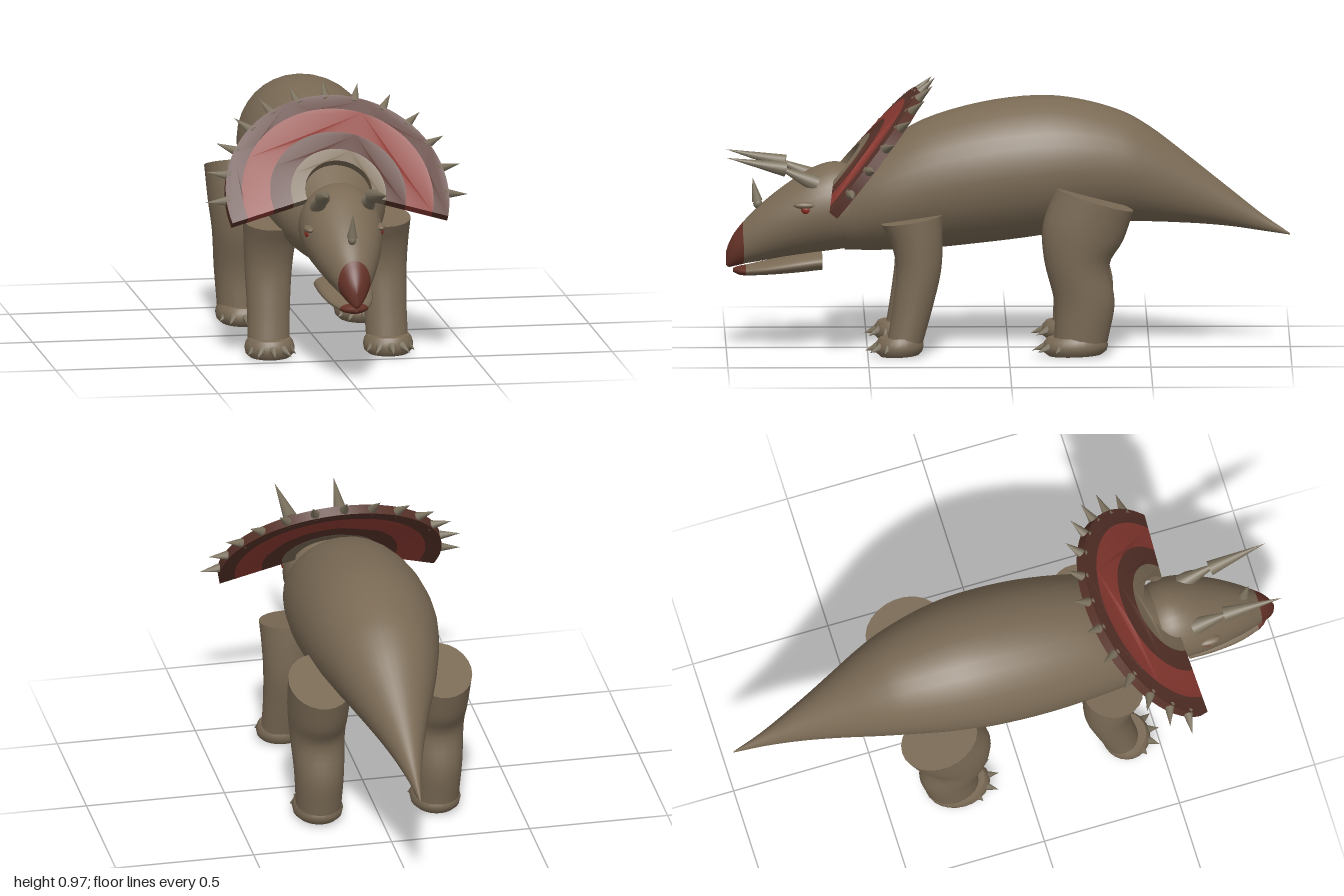
import * as THREE from 'three';
import { toCreasedNormals } from 'three/addons/utils/BufferGeometryUtils.js';

const V = (x, y, z) => new THREE.Vector3(x, y, z);

function material(name, color) {
  const m = new THREE.MeshStandardMaterial({ color });
  m.name = name;
  return m;
}

// Closed skin through elliptical rings { c, u, v }, with flat end caps
function loft(rings, n = 32) {
  const pos = [], idx = [];
  const addRing = ({ c, u, v }) => {
    const start = pos.length / 3;
    for (let i = 0; i < n; i++) {
      const a = (i / n) * Math.PI * 2;
      const p = c.clone().addScaledVector(u, Math.cos(a)).addScaledVector(v, Math.sin(a));
      pos.push(p.x, p.y, p.z);
    }
    return start;
  };
  const starts = rings.map(addRing);
  for (let r = 0; r + 1 < rings.length; r++) {
    for (let i = 0; i < n; i++) {
      const j = (i + 1) % n, a = starts[r], b = starts[r + 1];
      idx.push(a + i, a + j, b + j, a + i, b + j, b + i);
    }
  }
  [rings[0], rings[rings.length - 1]].forEach((ring, end) => {
    const s = addRing(ring), mid = pos.length / 3;
    pos.push(ring.c.x, ring.c.y, ring.c.z);
    for (let i = 0; i < n; i++) {
      const j = (i + 1) % n;
      idx.push(mid, s + (end ? i : j), s + (end ? j : i));
    }
  });
  const g = new THREE.BufferGeometry();
  g.setAttribute('position', new THREE.Float32BufferAttribute(pos, 3));
  g.setIndex(idx);
  g.computeVertexNormals();
  return g;
}

// Loft along z from rows of [z, top, bottom, half width], smoothed by a spline
function hull(rows, steps) {
  const heights = new THREE.CatmullRomCurve3(rows.map(r => V(r[0], r[1], r[2])), false, 'catmullrom');
  const widths = new THREE.CatmullRomCurve3(rows.map(r => V(r[0], r[3], 0)), false, 'catmullrom');
  const rings = [];
  for (let i = 0; i <= steps; i++) {
    const h = heights.getPoint(i / steps), w = widths.getPoint(i / steps).y;
    rings.push({ c: V(0, (h.y + h.z) / 2, h.x), u: V(w, 0, 0), v: V(0, (h.y - h.z) / 2, 0) });
  }
  return loft(rings);
}

// Cone from a base point to a tip
function spike(from, to, r, sides = 10) {
  const d = to.clone().sub(from), len = d.length();
  const g = new THREE.ConeGeometry(r, len, sides);
  g.translate(0, len / 2, 0);
  g.applyQuaternion(new THREE.Quaternion().setFromUnitVectors(V(0, 1, 0), d.normalize()));
  g.translate(from.x, from.y, from.z);
  return g;
}

function ball(c, sx, sy, sz) {
  return new THREE.SphereGeometry(1, 20, 14).scale(sx, sy, sz).translate(c.x, c.y, c.z);
}

export function createModel() {
  const root = new THREE.Group();
  root.name = 'hornedDinosaur';
  const skin = material('skin', 0x7a6a55);
  const horn = material('horn', 0x7a705d);
  const red = material('frillRed', 0x8c3a32);
  const maroon = material('frillMaroon', 0x573229);
  const beakMat = material('beak', 0x653227);
  const eyeMat = material('eye', 0x8a2c20);
  const add = (name, geo, mat, parent = root) => {
    const m = new THREE.Mesh(geo, mat);
    m.name = name;
    parent.add(m);
    return m;
  };

  // Body and tail
  add('body', hull([
    [-1, 0.405, 0.4, 0.002], [-0.9, 0.475, 0.415, 0.022], [-0.8, 0.555, 0.43, 0.05],
    [-0.7, 0.635, 0.44, 0.083], [-0.6, 0.715, 0.446, 0.12], [-0.5, 0.79, 0.45, 0.158],
    [-0.4, 0.845, 0.45, 0.19], [-0.25, 0.887, 0.43, 0.225], [-0.1, 0.9, 0.4, 0.243],
    [0.1, 0.875, 0.375, 0.243], [0.3, 0.815, 0.355, 0.222], [0.45, 0.725, 0.35, 0.19],
    [0.58, 0.64, 0.35, 0.13]], 48), skin);

  // Head, beak and lower jaw
  add('head', hull([
    [0.53, 0.62, 0.38, 0.1], [0.56, 0.65, 0.36, 0.135], [0.62, 0.665, 0.35, 0.146],
    [0.7, 0.64, 0.34, 0.141], [0.8, 0.575, 0.325, 0.116], [0.88, 0.51, 0.31, 0.086],
    [0.94, 0.45, 0.3, 0.058]], 28), skin);
  add('beak', hull([
    [0.938, 0.452, 0.299, 0.059], [0.97, 0.412, 0.292, 0.041],
    [0.99, 0.375, 0.288, 0.022], [1, 0.345, 0.295, 0.003]], 12), beakMat);
  add('lowerJaw', hull([
    [0.66, 0.35, 0.28, 0.1], [0.75, 0.335, 0.27, 0.096], [0.85, 0.312, 0.262, 0.08],
    [0.93, 0.295, 0.258, 0.052]], 14), skin);
  add('lowerBeak', hull([
    [0.93, 0.295, 0.258, 0.052], [0.955, 0.291, 0.261, 0.035], [0.975, 0.285, 0.27, 0.008]], 8), beakMat);

  // Nose horn
  add('noseHornBase', ball(V(0, 0.515, 0.888), 0.015, 0.018, 0.016), horn);
  add('noseHorn', spike(V(0, 0.525, 0.89), V(0, 0.61, 0.907), 0.019), horn);

  // Neck frill: concentric rings, swept back and slightly dished
  const frill = new THREE.Group();
  frill.name = 'frill';
  frill.position.set(0, 0.634, 0.6);
  frill.rotation.x = -0.68;
  root.add(frill);
  const dip = 0.25, dish = 0.12;
  const bands = [
    ['frillInnerBand', 0.12, 0.17, skin], ['frillMiddleBand', 0.17, 0.243, maroon],
    ['frillRedBand', 0.243, 0.342, red], ['frillRim', 0.342, 0.4, maroon]];
  for (const [name, r0, r1, mat] of bands) {
    const s = new THREE.Shape();
    s.absarc(0, 0, r1, -dip, Math.PI + dip, false);
    s.absarc(0, 0, r0, Math.PI + dip, -dip, true);
    s.closePath();
    const g = new THREE.ExtrudeGeometry(s, { depth: 0.035, bevelEnabled: false, curveSegments: 40 });
    const p = g.attributes.position;
    for (let i = 0; i < p.count; i++) {
      p.setZ(i, p.getZ(i) - 0.0175 - dish * Math.hypot(p.getX(i), p.getY(i)));
    }
    g.computeVertexNormals();
    add(name, toCreasedNormals(g, 0.6), mat, frill);
  }

  // Spikes round the frill edge
  for (let i = 0; i <= 12; i++) {
    const a = (i * Math.PI) / 12;
    const at = r => V(r * Math.cos(a), r * Math.sin(a), -dish * r);
    add('frillSpike', spike(at(0.385), at(0.472), 0.02), horn, frill);
  }

  // Legs: rows of [y, z, half width, half depth, slope of the ring], from the top down
  const frontRows = [
    [0.485, 0.345, 0.1, 0.107, -0.018], [0.4, 0.325, 0.092, 0.09, -0.01], [0.3, 0.32, 0.084, 0.079, 0],
    [0.17, 0.342, 0.077, 0.071, 0], [0.05, 0.368, 0.075, 0.064, 0]];
  const hindRows = [
    [0.56, -0.305, 0.112, 0.137, 0.042], [0.44, -0.262, 0.107, 0.142, 0.03], [0.33, -0.24, 0.098, 0.115, 0.01],
    [0.19, -0.268, 0.088, 0.107, 0], [0.05, -0.255, 0.08, 0.095, 0]];

  function leg(name, side, rows, x0, x1) {
    const group = new THREE.Group();
    group.name = name;
    root.add(group);
    const curve = k => new THREE.CatmullRomCurve3(
      rows.map(r => (k ? V(r[2], r[3], r[4]) : V(0, r[0], r[1]))), false, 'catmullrom');
    const path = curve(0), size = curve(1), rings = [];
    for (let i = 0; i <= 16; i++) {
      const t = i / 16, c = path.getPoint(t), s = size.getPoint(t);
      c.x = side * (x0 + (x1 - x0) * t);
      rings.push({ c, u: V(s.x, 0, 0), v: V(0, s.z, s.y) });
    }
    add('limb', loft(rings, 24), skin, group);

    // Foot pad with a rounded rim
    const last = rows[rows.length - 1];
    const x = side * x1, z = last[1] + 0.02, rx = 0.09, rz = last[3] + 0.022;
    const pad = [[0.068, 0.84], [0.055, 0.94], [0.035, 1], [0.015, 0.95], [0.002, 0.8]]
      .map(([y, k]) => ({ c: V(x, y, z), u: V(rx * k, 0, 0), v: V(0, -0.004 * k, rz * k) }));
    add('foot', loft(pad, 24), skin, group);

    // Claws fanned across the front
    for (let i = -2; i <= 2; i++) {
      const a = i * 0.5;
      const at = (k, y, out) => V(x + Math.sin(a) * (rx * k + out), y, z + Math.cos(a) * (rz * k + out));
      add('claw', spike(at(0.8, 0.038, 0), at(1, 0.018, Math.abs(i) === 2 ? 0.012 : 0.036), 0.019, 8), horn, group);
    }
  }

  for (const side of [1, -1]) {
    const label = side > 0 ? 'left' : 'right';
    leg(label + 'FrontLeg', side, frontRows, 0.2, 0.213);
    leg(label + 'HindLeg', side, hindRows, 0.218, 0.213);

    // Brow horn on its short stem
    add(label + 'BrowHornStem', spike(V(side * 0.085, 0.595, 0.68), V(side * 0.097, 0.67, 0.84), 0.032, 12), horn);
    add(label + 'BrowHorn', spike(V(side * 0.09, 0.65, 0.79), V(side * 0.107, 0.694, 1), 0.027, 12), horn);

    // Eye with a heavy lid
    add(label + 'Eye', ball(V(side * 0.129, 0.51, 0.718), 0.013, 0.016, 0.018), eyeMat);
    add(label + 'Eyelid', ball(V(side * 0.127, 0.526, 0.722), 0.019, 0.013, 0.042), skin);
  }
  return root;
}
